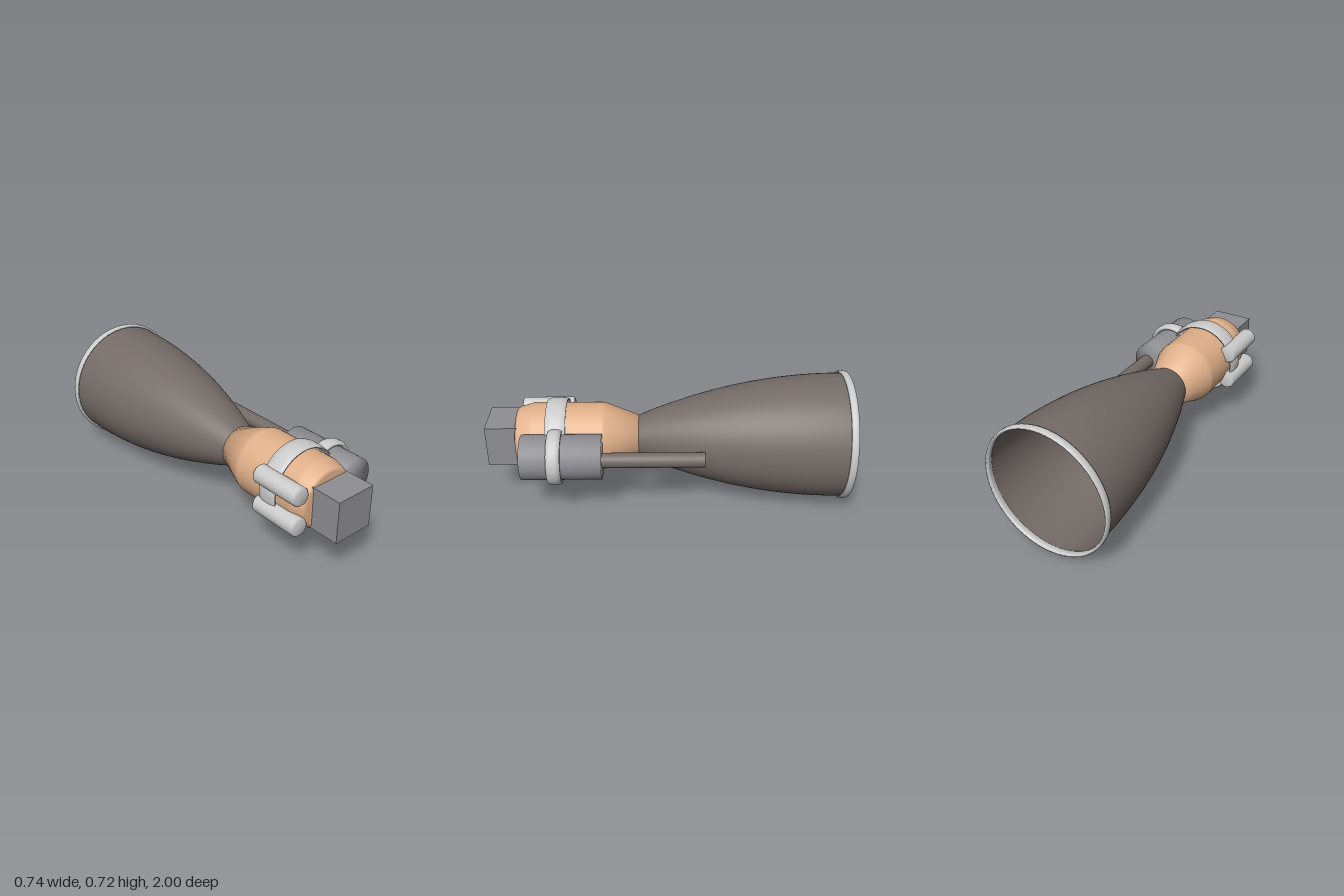
import * as THREE from 'three';

const CX = -0.007, CY = 0.364; // main thrust axis

const material = (color) => new THREE.MeshStandardMaterial({ color, side: THREE.DoubleSide });
const light = material(0xcccccc);
const steel = material(0x8f8f94);
const dark = material(0x746b67);
const copper = material(0xe0b08a);

export function createModel() {
  const group = new THREE.Group();

  const add = (name, geometry, mat, x = CX, y = CY, z = 0) => {
    const mesh = new THREE.Mesh(geometry, mat);
    mesh.name = name;
    mesh.position.set(x, y, z);
    group.add(mesh);
    return mesh;
  };

  // Surface of revolution about z, from [radius, z] pairs running back to front
  const turned = (profile, segments = 64) =>
    new THREE.LatheGeometry(profile.map(([r, z]) => new THREE.Vector2(r, z)), segments).rotateX(Math.PI / 2);

  // Band about z with a flattened, eight-sided section
  const band = (radius, thick, halfWidth) => {
    const profile = [];
    for (let i = 0; i <= 8; i++) {
      const a = -Math.PI + Math.PI / 8 + (i * Math.PI) / 4;
      const k = 1 / Math.cos(Math.PI / 8);
      profile.push([radius + thick * k * Math.cos(a), halfWidth * k * Math.sin(a)]);
    }
    return turned(profile, 72);
  };

  // Nozzle bell with a parabolic flare and an open mouth at the back
  const flare = [];
  for (let i = 0; i <= 24; i++) {
    const t = i / 24;
    flare.push([0.348 - 0.231 * t * t, -0.97 + 1.13 * t]);
  }
  add('nozzleBell', turned(flare, 72), dark);
  add('nozzleRim', band(0.353, 0.009, 0.02), light, CX, CY, -0.98);

  // Combustion chamber
  add('combustionChamber', turned([
    [0, 0.16], [0.117, 0.16], [0.187, 0.345], [0.19, 0.36], [0.19, 0.74],
    [0.187, 0.755], [0.167, 0.822], [0.155, 0.835], [0, 0.835],
  ]), copper);
  add('chamberBand', band(0.2075, 0.0105, 0.055), light, CX, CY, 0.61);

  // Square mounting block
  add('mountBlock', new THREE.BoxGeometry(0.235, 0.235, 0.2), steel, CX, CY, 0.9);

  // Turbopump on the left side, with its band and exhaust pipe
  add('turbopump', turned([[0, 0.355], [0.123, 0.355], [0.123, 0.79], [0, 0.79]], 48), steel, 0.215);
  add('turbopumpBand', band(0.136, 0.016, 0.037), light, 0.215, CY, 0.607);
  add('exhaustPipe', turned([[0, -0.2], [0.041, -0.2], [0.041, 0.4], [0, 0.4]], 32), dark, 0.254, 0.366);

  // Pair of small tanks on the right side
  for (const side of [1, -1]) {
    add(side > 0 ? 'upperTank' : 'lowerTank', turned([
      [0, -0.15], [0.043, -0.149], [0.052, -0.138], [0.052, 0.138], [0.043, 0.149], [0, 0.15],
    ], 32), light, -0.197, CY + side * 0.0875, 0.68);
  }

  return group;
}
